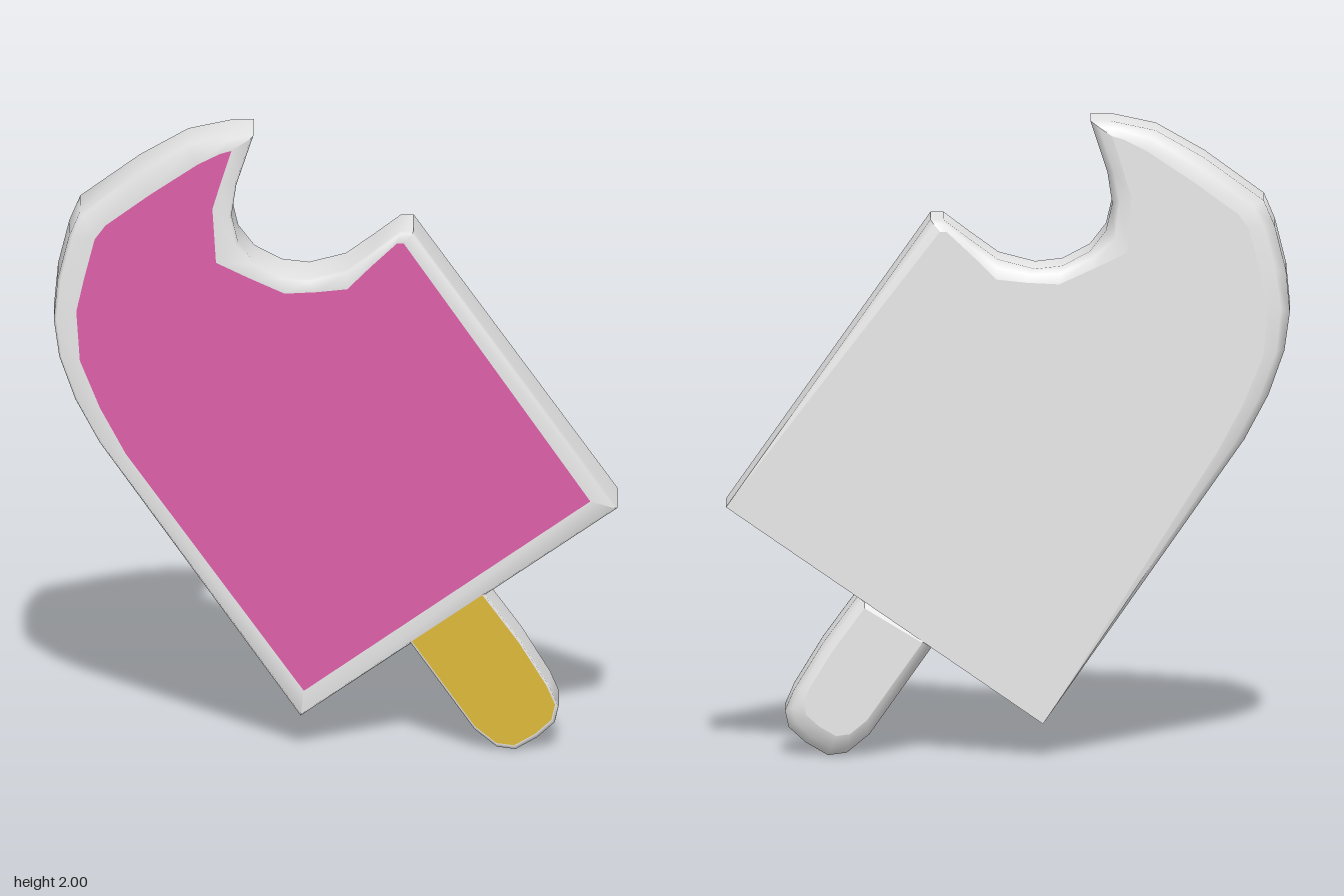
import * as THREE from 'three';
import { mergeGeometries } from 'three/addons/utils/BufferGeometryUtils.js';

const paint = (name, color) => {
  const m = new THREE.MeshStandardMaterial({ color });
  m.name = name;
  return m;
};

// Each row: outer edge x, y, then the matching edge of the coloured front face x, y (counter-clockwise)
const BODY = [
  [-0.11, 0.11, -0.1, 0.195], [0.875, 0.79, 0.79, 0.815],
  [0.24, 1.69, 0.21, 1.655], [0.2, 1.69, 0.19, 1.655],
  [0.12, 1.63, 0.11, 1.58], [0.03, 1.565, 0.035, 1.505],
  [-0.085, 1.535, -0.06, 1.495], [-0.17, 1.545, -0.16, 1.49],
  [-0.255, 1.59, -0.27, 1.54], [-0.305, 1.655, -0.373, 1.59],
  [-0.325, 1.74, -0.384, 1.765], [-0.31, 1.84, -0.36, 1.845],
  [-0.257, 2.0, -0.325, 1.955], [-0.32, 2.0, -0.36, 1.945],
  [-0.46, 1.97, -0.43, 1.91], [-0.61, 1.885, -0.58, 1.81],
  [-0.796, 1.75, -0.717, 1.71], [-0.83, 1.67, -0.75, 1.665],
  [-0.865, 1.53, -0.782, 1.54], [-0.877, 1.4, -0.807, 1.43],
  [-0.86, 1.28, -0.796, 1.27], [-0.81, 1.14, -0.733, 1.115],
  [-0.735, 1.0, -0.653, 0.966]
];
const STICK = [
  [0.44, 0.54], [0.2, 0.395], [0.43, 0.07], [0.5, 0.013], [0.558, 0.005],
  [0.627, 0.045], [0.68, 0.093], [0.692, 0.145], [0.664, 0.21], [0.574, 0.357]
];

// Smooth shell swept round the outline, broken at the listed corners so they stay crisp
function shell(rows, breaks, rings) {
  const n = rows.length, parts = [];
  breaks.forEach((start, b) => {
    const end = b + 1 < breaks.length ? breaks[b + 1] : n + breaks[0];
    const pos = [], idx = [], R = rings(0).length;
    for (let j = start; j <= end; j++) {
      for (const p of rings(j % n)) pos.push(...p);
      if (j === end) break;
      for (let k = 0; k < R - 1; k++) {
        const a = (j - start) * R + k, d = a + R;
        idx.push(a, a + 1, d, a + 1, d + 1, d);
      }
    }
    const g = new THREE.BufferGeometry();
    g.setAttribute('position', new THREE.Float32BufferAttribute(pos, 3));
    g.setIndex(idx);
    g.computeVertexNormals();
    parts.push(g);
  });
  return mergeGeometries(parts);
}

// Flat face closing one end of the shell
function cap(points, z, back) {
  const g = new THREE.ShapeGeometry(new THREE.Shape(points.map(p => new THREE.Vector2(p[0], p[1]))));
  g.translate(0, 0, z);
  if (back) {
    g.index.array.reverse();
    g.computeVertexNormals();
  }
  return g;
}

function slab(name, rows, { breaks, sharp, zf, zb, bevel, inset, side, face }) {
  // Cross-section from the front face edge, round the side, to the back face edge
  const rings = j => {
    const [x, y, ix, iy] = rows[j];
    const at = (t, z) => [x + (ix - x) * t, y + (iy - y) * t, z];
    const s = sharp.includes(j) ? 0 : 1;
    return [at(0, 0).map((v, i) => [ix, iy, zf][i]), at(0.12, zf), at(0, zf - 0.015),
      at(0, zb + bevel * s), at(0.4 * inset * s, zb + bevel * 0.3 * s), at(inset * s, zb)];
  };
  const group = new THREE.Group();
  group.name = name;
  const add = (label, geometry, material) => {
    const m = new THREE.Mesh(geometry, material);
    m.name = name + label;
    group.add(m);
  };
  const all = rows.map((_, j) => rings(j));
  add('Shell', shell(rows, breaks, rings), side);
  add('Front', cap(all.map(r => r[0]), zf, false), face);
  add('Back', cap(all.map(r => r[5]), zb, true), side);
  return group;
}

export function createModel() {
  const white = paint('off white', 0xe7e7e7);
  const pink = paint('pink icing', 0xdc5ea8);
  const gold = paint('golden wood', 0xdcb838);

  const model = new THREE.Group();
  model.name = 'icePop';

  // Bitten ice block
  model.add(slab('iceBlock', BODY, {
    breaks: [0, 1, 2, 12], sharp: [0, 1], zf: 0.105, zb: -0.105,
    bevel: 0.025, inset: 1, side: white, face: pink
  }));

  // Stick, its front face set just inside the outline
  const stick = STICK.map(([x, y]) => [x, y, x + (0.46 - x) * 0.05, y + (0.27 - y) * 0.05]);
  model.add(slab('stick', stick, {
    breaks: [0, 1], sharp: [], zf: 0.103, zb: -0.102,
    bevel: 0.045, inset: 5, side: white, face: gold
  }));
  return model;
}
